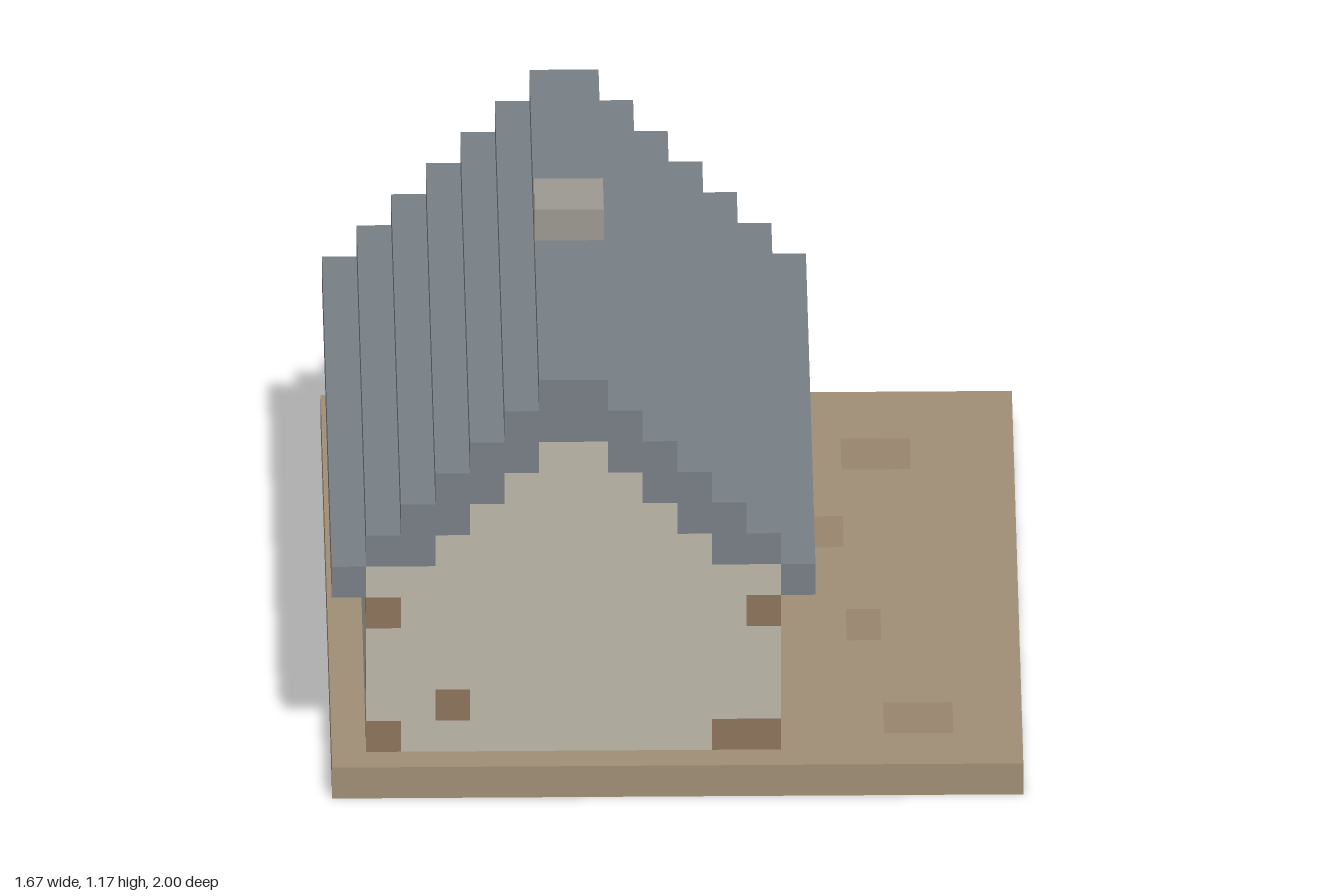
import * as THREE from 'three';

// The house is laid out on a grid of cubes, twelve to one unit.
const U = 1 / 12;
const CLAY = 0x8d745c;

// Each box is [x0, x1, y0, y1, z0, z1] in cubes; a later part replaces an earlier one.
function layout() {
  const parts = [];
  const add = (name, color, boxes) => parts.push({ name, color, boxes });

  add('ground', 0xa08e76, [[-10, 10, 0, 1, -12, 12]]);
  add('groundPatches', 0x98856d, [[3, 5, 0, 1, -4, -2], [5, 7, 0, 1, -9, -7], [6, 8, 0, 1, 8, 10], [5, 6, 0, 1, 2, 4]]);

  // Hollow walls, with stepped gables at both ends
  const walls = [[-9, -8, 1, 7, -9, 11], [2, 3, 1, 7, -9, 11]];
  for (const z of [-9, 10]) {
    walls.push([-9, 3, 1, 7, z, z + 1]);
    for (let i = 0; i < 4; i++) walls.push([-7 + i, 1 - i, 7 + i, 8 + i, z, z + 1]);
  }
  add('walls', 0xbcb7a8, walls);

  // Bare clay showing at the corners and in single patches
  const bare = [[1, 2, 1, 2, 10, 11], [-7, -6, 2, 3, 10, 11], [2, 3, 2, 3, 8, 9], [-9, -8, 2, 3, 8, 9]];
  for (const x of [-9, 2]) for (const z of [-9, 10]) for (const y of [1, 5]) {
    bare.push([x, x + 1, y, y + 1, z, z + 1]);
  }
  add('barePatches', CLAY, bare);

  // Stepped roof, mirrored about the ridge at x = -3
  const roof = [[-10, -9, 6, 7, -9, 11], [3, 4, 6, 7, -9, 11], [-5, -1, 11, 12, -9, 11], [-4, -2, 12, 13, -9, 11]];
  for (let i = 0; i < 4; i++) {
    roof.push([-9 + i, -7 + i, 7 + i, 8 + i, -9, 11], [1 - i, 3 - i, 7 + i, 8 + i, -9, 11]);
  }
  add('roof', 0x787f85, roof);

  // Chimney rises from the floor through the ridge
  add('chimneyFlue', 0xbcb7a8, [[-4, -2, 1, 12, 0, 2]]);
  add('chimneyTop', 0x9b9991, [[-4, -2, 12, 14, 0, 2]]);

  // Framed panel on the back wall
  add('panelFrame', 0xb0a268, [[-9, 1, 5, 6, -10, -9], [-9, -8, 1, 5, -10, -9], [0, 1, 2, 5, -10, -9]]);
  add('panelBoard', 0xa4876a, [[-8, 0, 2, 5, -10, -9]]);
  add('panelInlays', 0x7c6852, [
    [-1, 0, 3, 5, -10, -9], [-8, -7, 3, 5, -10, -9],
    [-4, -3, 3, 5, -10, -9], [-6, -5, 3, 5, -10, -9], [-5, -4, 3, 4, -10, -9],
  ]);

  // Loose blocks at the foot of the panel
  add('footBlocks', 0x9c8068, [[1, 2, 1, 2, -10, -9], [-9, -8, 1, 2, -12, -11]]);
  add('darkFootBlock', 0x806a54, [[-9, -8, 1, 2, -11, -10]]);
  return parts;
}

// Outward square for each of the six directions, corners counter-clockwise
const FACES = [
  [[1, 0, 0], [[1, 0, 0], [1, 1, 0], [1, 1, 1], [1, 0, 1]]],
  [[-1, 0, 0], [[0, 0, 0], [0, 0, 1], [0, 1, 1], [0, 1, 0]]],
  [[0, 1, 0], [[0, 1, 0], [0, 1, 1], [1, 1, 1], [1, 1, 0]]],
  [[0, -1, 0], [[0, 0, 0], [1, 0, 0], [1, 0, 1], [0, 0, 1]]],
  [[0, 0, 1], [[0, 0, 1], [1, 0, 1], [1, 1, 1], [0, 1, 1]]],
  [[0, 0, -1], [[0, 0, 0], [0, 1, 0], [1, 1, 0], [1, 0, 0]]],
];

const key = (x, y, z) => `${x},${y},${z}`;

export function createModel() {
  const group = new THREE.Group();
  group.name = 'house';
  const parts = layout();

  // Fill the grid
  const cells = new Map();
  parts.forEach((part, id) => {
    for (const [x0, x1, y0, y1, z0, z1] of part.boxes) {
      for (let x = x0; x < x1; x++) for (let y = y0; y < y1; y++) for (let z = z0; z < z1; z++) {
        cells.set(key(x, y, z), { id, at: [x, y, z] });
      }
    }
  });

  // Keep only exposed squares; the underside of the ground stays open
  const positions = parts.map(() => []);
  const normals = parts.map(() => []);
  for (const { id, at: [x, y, z] } of cells.values()) {
    for (const [n, corners] of FACES) {
      if (cells.has(key(x + n[0], y + n[1], z + n[2])) || y + n[1] < 0) continue;
      for (const i of [0, 1, 2, 0, 2, 3]) {
        const c = corners[i];
        positions[id].push((x + c[0]) * U, (y + c[1]) * U, (z + c[2]) * U);
        normals[id].push(...n);
      }
    }
  }

  parts.forEach(({ name, color }, id) => {
    const geometry = new THREE.BufferGeometry();
    geometry.setAttribute('position', new THREE.Float32BufferAttribute(positions[id], 3));
    geometry.setAttribute('normal', new THREE.Float32BufferAttribute(normals[id], 3));
    const mesh = new THREE.Mesh(geometry, new THREE.MeshStandardMaterial({ color, side: THREE.DoubleSide }));
    mesh.name = name;
    group.add(mesh);
  });
  return group;
}
